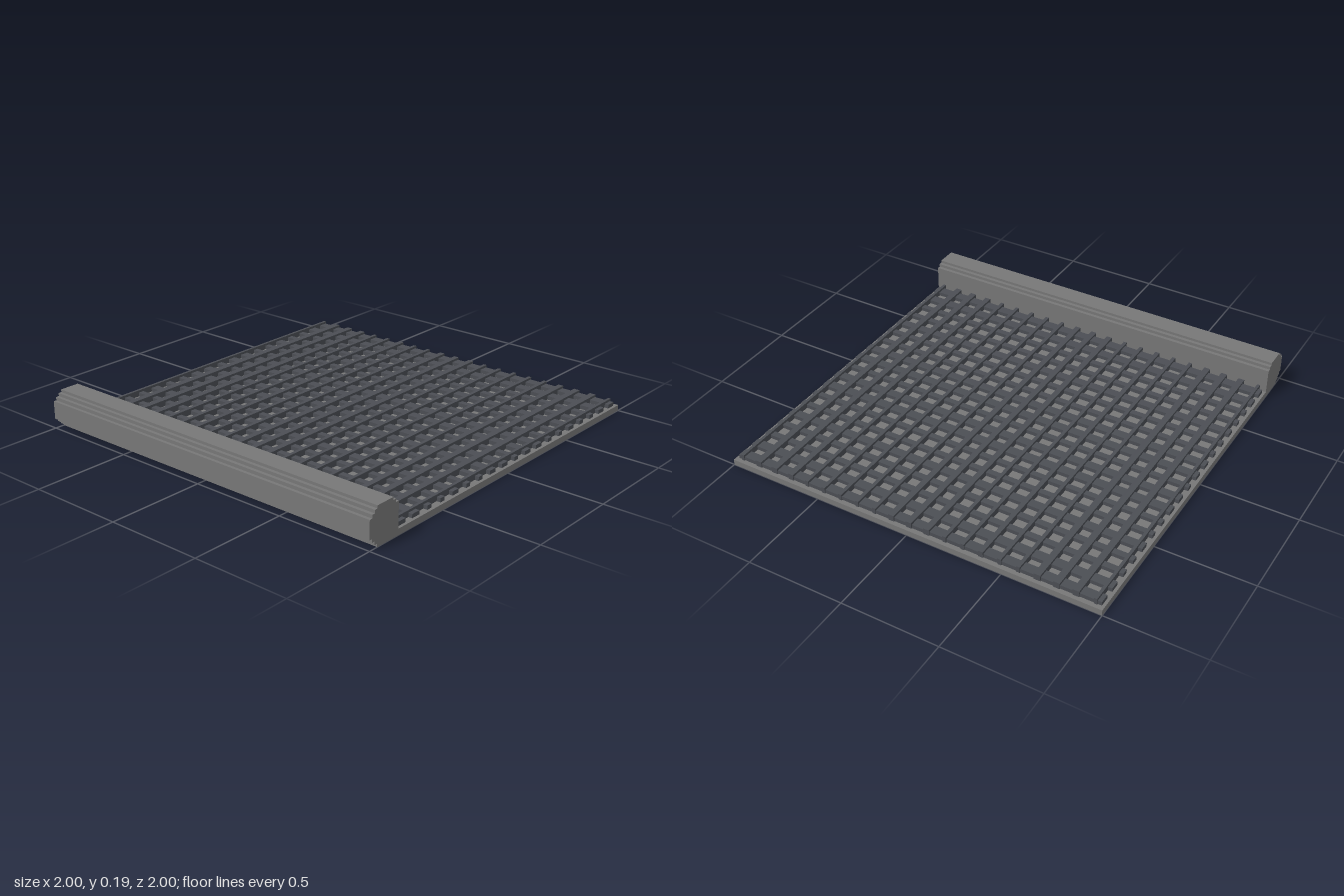
import * as THREE from 'three';

export function createModel() {
  const model = new THREE.Group();
  const grey = new THREE.MeshStandardMaterial({ color: 0x777777 });
  grey.name = 'stone grey';
  const dark = new THREE.MeshStandardMaterial({ color: 0x4b4e54 });
  dark.name = 'dark slate';

  const box = (parent, name, mat, size, pos) => {
    const mesh = new THREE.Mesh(new THREE.BoxGeometry(...size), mat);
    mesh.name = name;
    mesh.position.set(...pos);
    parent.add(mesh);
  };

  // Flat base slab
  box(model, 'baseSlab', grey, [2, 0.03, 1.88], [0, 0.015, -0.06]);

  // Front roll: stepped round section [z, y], extruded along x
  const section = [
    [0.81, 0], [0.95, 0], [0.95, 0.016], [0.967, 0.016], [0.967, 0.033], [0.984, 0.033],
    [0.984, 0.05], [1, 0.05], [1, 0.143], [0.984, 0.143], [0.984, 0.16], [0.967, 0.16],
    [0.967, 0.176], [0.95, 0.176], [0.95, 0.19], [0.846, 0.19], [0.846, 0.176],
    [0.828, 0.176], [0.828, 0.16], [0.81, 0.16],
  ];
  // Shape x is -z, so that turning by +90 degrees about y sends depth to +x
  const shape = new THREE.Shape(section.map(([z, y]) => new THREE.Vector2(-z, y)));
  const rollGeometry = new THREE.ExtrudeGeometry(shape, { depth: 2, bevelEnabled: false });
  rollGeometry.rotateY(Math.PI / 2).translate(-1, 0, 0);
  const roll = new THREE.Mesh(rollGeometry, grey);
  roll.name = 'frontRoll';
  model.add(roll);

  // Lower slats across the slab: widths in hundredths, back to front
  const crossSlats = new THREE.Group();
  crossSlats.name = 'crossSlats';
  [5, 5, 3.3, 3.3, 4.6, 3, 3, 5, 4.6, 3, 4.6, 4.6, 3, 3, 4.4, 3, 3, 5, 5].forEach((w, i) => {
    box(crossSlats, 'crossSlat', dark, [1.97, 0.02, w / 100], [0, 0.04, -0.95 + i * 0.0954]);
  });
  model.add(crossSlats);

  // Upper slats running front to back: widths in hundredths, left to right in x
  const longSlats = new THREE.Group();
  longSlats.name = 'longSlats';
  [1.5, 3.3, 3.3, 3.3, 1.8, 1.8, 2.4, 1.8, 1.8, 3, 3, 3, 1.8, 1.8, 1.8, 1.8, 1.8, 3, 3.3, 3.3, 1.5].forEach((w, i) => {
    box(longSlats, 'longSlat', dark, [w / 100, 0.032, 1.795], [(i - 10) * 0.0957, 0.046, -0.0825]);
  });
  model.add(longSlats);

  return model;
}
